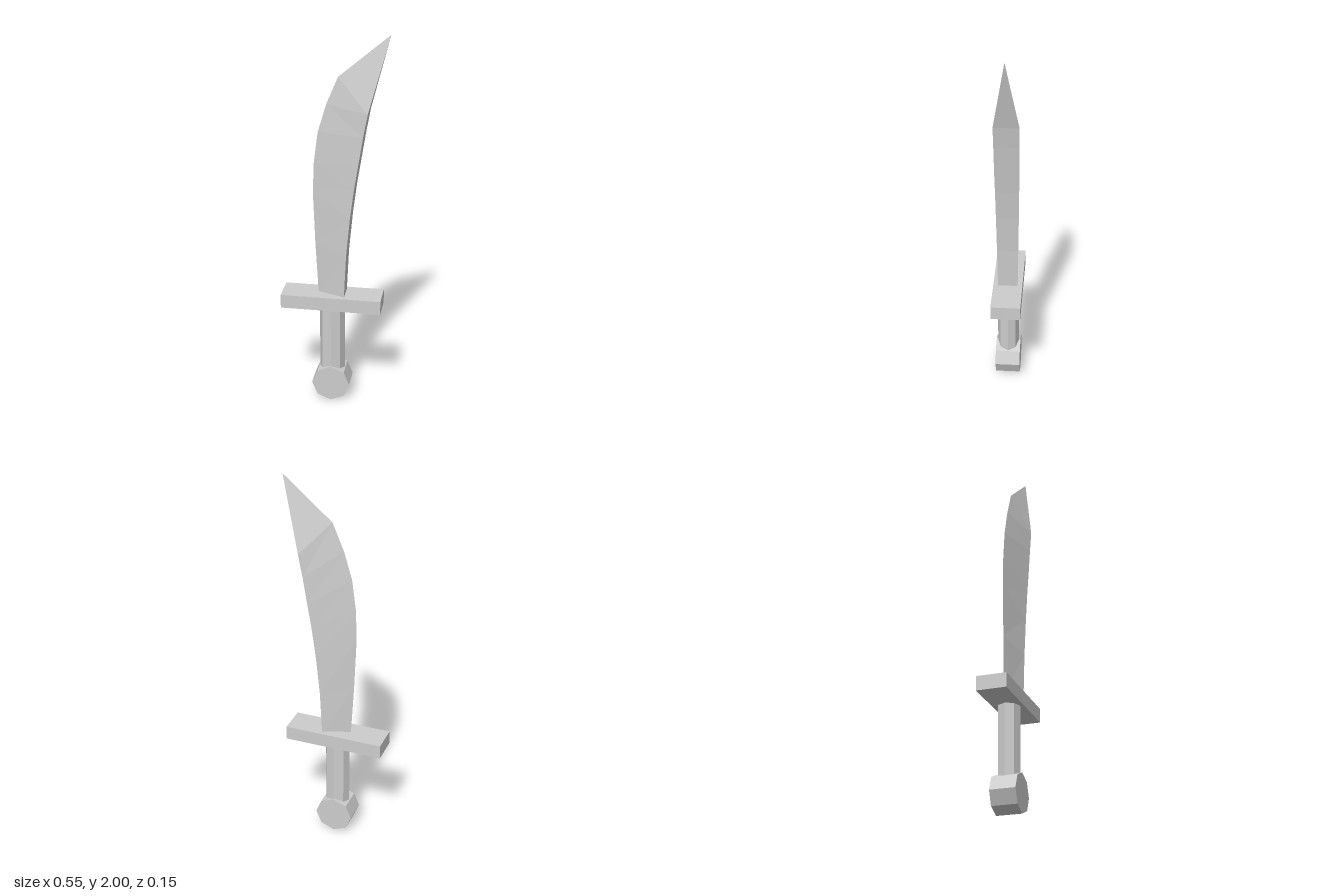
import * as THREE from 'three';

export function createModel() {
  const steel = new THREE.MeshStandardMaterial({ color: 0xcccccc, flatShading: true });
  steel.name = 'light grey';
  const model = new THREE.Group();
  model.name = 'sword';
  const axis = -0.012; // x of the hilt's centre line

  const add = (name, geometry, x, y) => {
    const mesh = new THREE.Mesh(geometry, steel);
    mesh.name = name;
    mesh.position.set(x, y, 0);
    model.add(mesh);
  };

  // Pommel: octagonal disc facing front, one corner up
  add('pommel', new THREE.CylinderGeometry(0.101, 0.101, 0.132, 8).rotateX(Math.PI / 2), axis, 0.104);

  // Grip: slightly flattened octagonal rod
  add('grip', new THREE.CylinderGeometry(0.067, 0.067, 0.4, 8).scale(1, 1, 0.86), axis, 0.355);

  // Crossguard
  add('crossguard', new THREE.BoxGeometry(0.527, 0.074, 0.154), axis, 0.583);

  // Blade: triangular sections, each [edge x, edge y, spine x, spine y, spine half width]
  const sections = [
    [-0.085, 0.6, 0.056, 0.6, 0.052],
    [-0.102, 0.9, 0.067, 0.85, 0.055],
    [-0.113, 1.18, 0.086, 1.06, 0.058],
    [-0.107, 1.34, 0.106, 1.22, 0.06],
    [-0.086, 1.5, 0.128, 1.36, 0.062],
    [-0.043, 1.645, 0.15, 1.5, 0.063],
    [0.016, 1.785, 0.172, 1.62, 0.064],
  ].map(([ex, ey, sx, sy, w]) => [[ex, ey, 0], [sx, sy, w], [sx, sy, -w]]);
  const tip = [0.272, 2, 0];
  const points = [];
  const tri = (a, b, c) => points.push(...a, ...b, ...c);
  sections.forEach((low, i) => {
    const high = sections[i + 1];
    for (let k = 0; k < 3; k++) {
      const n = (k + 1) % 3;
      if (high) {
        tri(low[k], low[n], high[n]);
        tri(low[k], high[n], high[k]);
      } else {
        tri(low[k], low[n], tip); // closing point
      }
    }
  });
  tri(sections[0][0], sections[0][2], sections[0][1]); // base cap
  const blade = new THREE.BufferGeometry();
  blade.setAttribute('position', new THREE.Float32BufferAttribute(points, 3));
  blade.computeVertexNormals();
  add('blade', blade, 0, 0);

  return model;
}
